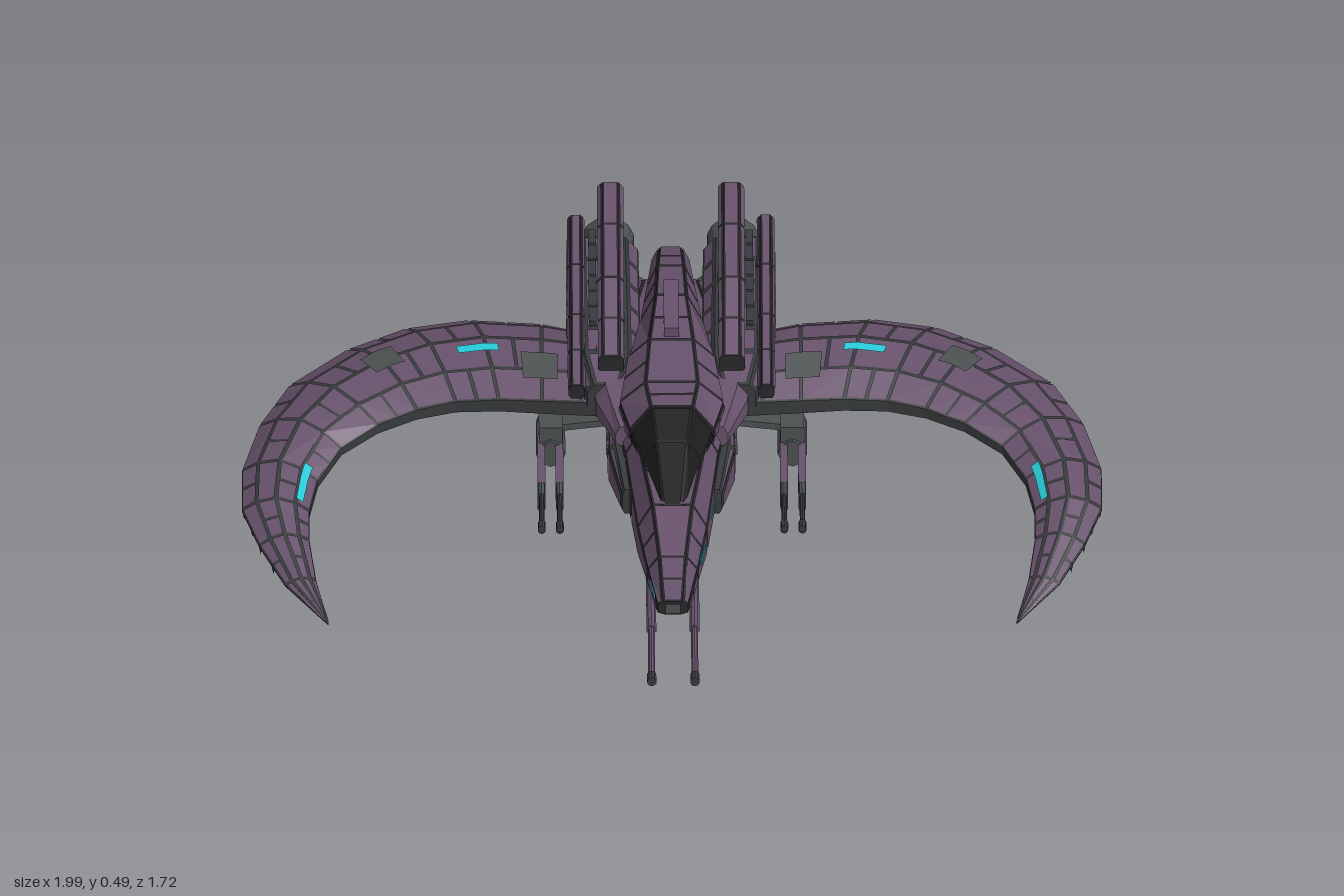
import * as THREE from 'three';

const mat = (name, color) => Object.assign(new THREE.MeshStandardMaterial({ color }), { name });
const V = (x, y, z) => new THREE.Vector3(x, y, z);
const lerp = THREE.MathUtils.lerp;

// flat-faced geometry from a list of corner points, three per triangle
function fromPoints(pts) {
  const g = new THREE.BufferGeometry().setFromPoints(pts);
  g.computeVertexNormals();
  return g;
}
const quad = (out, a, b, c, d) => out.push(a, b, c, a, c, d);

// closed body through matching rings, with end caps
function loft(rings) {
  const out = [], n = rings[0].length;
  for (let i = 0; i < rings.length - 1; i++) for (let j = 0; j < n; j++) {
    const k = (j + 1) % n;
    quad(out, rings[i][j], rings[i + 1][j], rings[i + 1][k], rings[i][k]);
  }
  const f = rings[0], b = rings[rings.length - 1];
  for (let j = 1; j < n - 1; j++) out.push(f[0], f[j], f[j + 1], b[0], b[j + 1], b[j]);
  return fromPoints(out);
}

// raised plates over a loft, separated by narrow seams
function plates(rings, sides, div, gap = 0.004, lift = 0.003) {
  const out = [], n = rings[0].length;
  for (let i = 0; i < rings.length - 1; i++) for (const j of sides) {
    const k = (j + 1) % n, m = div(i, j);
    for (let q = 0; q < m; q++) {
      const at = (jj, t) => rings[i][jj].clone().lerp(rings[i + 1][jj], t);
      const c = [at(j, q / m), at(j, (q + 1) / m), at(k, (q + 1) / m), at(k, q / m)];
      const nor = c[2].clone().sub(c[0]).cross(c[3].clone().sub(c[1])).normalize();
      const inset = c.map((p, e) => {
        const r = p.clone();
        for (const o of [c[(e + 1) % 4], c[(e + 3) % 4]]) {
          const d = o.clone().sub(p), len = d.length();
          if (len > 1e-6) r.addScaledVector(d, Math.min(gap / 2, len * 0.25) / len);
        }
        return r.addScaledVector(nor, lift);
      });
      quad(out, ...inset);
    }
  }
  return fromPoints(out);
}

// eight-sided section: bottom, waist and top half-widths with their heights
const ring = (z, wb, yb, wm, y1, y2, wt, yt, cx = 0) =>
  [[wb, yb], [wm, y1], [wm, y2], [wt, yt], [-wt, yt], [-wm, y2], [-wm, y1], [-wb, yb]]
    .map(([x, y]) => V(cx + x, y, z));

const box = (w, h, d, x, y, z, rx = 0, rz = 0) =>
  new THREE.BoxGeometry(w, h, d).rotateX(rx).rotateZ(rz).translate(x, y, z);
// cylinder along z, centred at x, y between z0 (rear) and z1 (front)
const rod = (r, x, y, z0, z1, n = 10) =>
  new THREE.CylinderGeometry(r, r, z1 - z0, n).rotateX(Math.PI / 2).translate(x, y, (z0 + z1) / 2);
// square bar between two points
function beam(a, b, w, h) {
  const o = new THREE.Object3D();
  o.position.copy(a).lerp(b, 0.5);
  o.lookAt(b);
  o.updateMatrix();
  return new THREE.BoxGeometry(w, h, a.distanceTo(b)).applyMatrix4(o.matrix);
}

function mirrored(g) {
  const m = g.index ? g.toNonIndexed() : g.clone();
  m.scale(-1, 1, 1);
  const p = m.attributes.position, a = V(0, 0, 0), b = V(0, 0, 0);
  for (let i = 0; i < p.count; i += 3) {
    a.fromBufferAttribute(p, i); b.fromBufferAttribute(p, i + 2);
    p.setXYZ(i, b.x, b.y, b.z); p.setXYZ(i + 2, a.x, a.y, a.z);
  }
  m.computeVertexNormals();
  return m;
}

// wing stations: inner edge xyz, outer edge xyz, crown height
const WING = [
  [0.12, 0.235, -0.17, 0.12, 0.208, -0.5, 0.06], [0.3, 0.225, -0.2, 0.3, 0.21, -0.57, 0.062],
  [0.4, 0.22, -0.215, 0.47, 0.208, -0.592, 0.062], [0.5, 0.212, -0.22, 0.615, 0.196, -0.575, 0.057],
  [0.59, 0.202, -0.2, 0.75, 0.18, -0.507, 0.055], [0.68, 0.186, -0.16, 0.885, 0.162, -0.375, 0.05],
  [0.765, 0.16, -0.1, 0.955, 0.146, -0.22, 0.047], [0.82, 0.13, 0, 0.996, 0.132, -0.04, 0.042],
  [0.84, 0.11, 0.107, 0.996, 0.11, 0.1, 0.036], [0.84, 0.086, 0.2, 0.957, 0.08, 0.21, 0.026],
  [0.825, 0.05, 0.32, 0.897, 0.045, 0.33, 0.014], [0.797, 0.012, 0.445, 0.801, 0.012, 0.447, 0],
];
function wingPoint(s, t, under = false) {
  const i = Math.min(Math.floor(s), WING.length - 2), f = s - i;
  const w = WING[i].map((v, k) => lerp(v, WING[i + 1][k], f));
  const crown = w[6] * Math.sin(Math.PI * t) * (under ? 0.6 : 1);
  const thick = under ? lerp(0.036, 0.012, t) * (1 - 0.8 * s / 11) : 0;
  return V(lerp(w[0], w[3], t), lerp(w[1], w[4], t) + crown - thick, lerp(w[2], w[5], t));
}
// thin marking laid on the wing's upper face
function wingMark(s0, s1, t0, t1, steps) {
  const out = [], p = (s, t) => wingPoint(s, t).add(V(0, 0.011, 0));
  for (let i = 0; i < steps; i++) {
    const a = lerp(s0, s1, i / steps), b = lerp(s0, s1, (i + 1) / steps);
    quad(out, p(a, t0), p(b, t0), p(b, t1), p(a, t1));
  }
  return fromPoints(out);
}

export function createModel() {
  const purple = mat('purple plating', 0x67516b), dark = mat('dark seams', 0x29282b);
  const charcoal = mat('charcoal underside', 0x373a3c), grey = mat('grey machinery', 0x4b5051);
  const glass = mat('canopy glass', 0x1c1b1d), cyan = mat('cyan marking', 0x25cad6);
  const root = new THREE.Group();
  const add = (name, m, g) => {
    const flat = g.index ? g.toNonIndexed() : g;
    flat.computeVertexNormals();
    const mesh = new THREE.Mesh(flat, m);
    mesh.name = name;
    root.add(mesh);
  };
  const pair = (name, m, g) => { add(name + 'Left', m, g); add(name + 'Right', m, mirrored(g)); };
  const all = [0, 1, 2, 3, 4, 5, 6, 7];
  const vary = (i, j) => 1 + (i + j) % 2;

  // main hull, nose to tail
  const hull = [
    ring(0.6, 0.02, 0.125, 0.035, 0.13, 0.15, 0.022, 0.16), ring(0.45, 0.03, 0.1, 0.056, 0.12, 0.155, 0.03, 0.19),
    ring(0.28, 0.05, 0.068, 0.078, 0.1, 0.17, 0.045, 0.228), ring(0, 0.07, 0.058, 0.105, 0.1, 0.2, 0.08, 0.25),
    ring(-0.2, 0.08, 0.053, 0.14, 0.1, 0.22, 0.1, 0.29), ring(-0.45, 0.08, 0.05, 0.14, 0.1, 0.22, 0.1, 0.27),
    ring(-0.76, 0.06, 0.07, 0.1, 0.1, 0.2, 0.06, 0.22)];
  add('hullCore', dark, loft(hull));
  add('hullPlating', purple, plates(hull, all, vary, 0.006));
  add('noseTip', grey, box(0.035, 0.025, 0.03, 0, 0.142, 0.59));

  // canopy and the raised back behind it
  const canopy = [ring(0.28, 0.03, 0.2, 0.032, 0.215, 0.22, 0.02, 0.228),
    ring(0.1, 0.06, 0.2, 0.065, 0.225, 0.24, 0.035, 0.292), ring(0, 0.08, 0.2, 0.092, 0.24, 0.26, 0.045, 0.323)];
  add('canopyFrame', dark, loft(canopy));
  add('canopyGlass', glass, plates(canopy, [1, 2, 3, 4, 5], () => 1));
  const back = [ring(0, 0.08, 0.2, 0.096, 0.24, 0.265, 0.048, 0.327), ring(-0.1, 0.1, 0.2, 0.12, 0.23, 0.28, 0.06, 0.333),
    ring(-0.27, 0.08, 0.2, 0.1, 0.24, 0.3, 0.05, 0.347), ring(-0.45, 0.06, 0.15, 0.07, 0.2, 0.29, 0.035, 0.36),
    ring(-0.65, 0.045, 0.09, 0.055, 0.12, 0.26, 0.03, 0.32), ring(-0.83, 0.035, 0.08, 0.042, 0.1, 0.23, 0.025, 0.265)];
  add('spineCore', dark, loft(back));
  add('spinePlating', purple, plates(back, all, vary, 0.006));
  add('spineRidge', purple, box(0.035, 0.03, 0.2, 0, 0.366, -0.38, 0.06));

  // crescent wings: charcoal body, purple plates above, ribs below
  const ts = [0, 0.22, 0.5, 0.78, 1];
  const wing = WING.map((_, s) => [...ts.map(t => wingPoint(s, t)), ...[...ts].reverse().map(t => wingPoint(s, t, true))]);
  pair('wingBody', charcoal, loft(wing));
  pair('wingPlating', purple, plates(wing, [0, 1, 2, 3], (i, j) => 1 + (i + j + 1) % 2, 0.007));
  for (let s = 0.8; s < 10; s += 0.4) {
    const under = t => wingPoint(s, t, true);
    for (let j = 0; j < 2; j++) pair('wingRib', charcoal, beam(under([0.06, 0.5][j]), under([0.5, 0.94][j]), 0.007, 0.007));
  }
  pair('wingPatchOuter', grey, wingMark(3.7, 4.3, 0.37, 0.6, 2));
  pair('wingPatchInner', grey, wingMark(0.8, 1.4, 0.13, 0.33, 3));
  pair('wingStripeInner', cyan, wingMark(1.8, 2.6, 0.335, 0.4, 3));
  pair('wingStripeOuter', cyan, wingMark(6.9, 7.95, 0.1, 0.2, 3));
  for (let s = 1.5; s < 10; s += 0.5) {
    const p = wingPoint(s, 0.97, true);
    pair('wingSpike', charcoal, new THREE.ConeGeometry(0.005, 0.025, 4).rotateX(Math.PI).translate(p.x, p.y - 0.008, p.z));
  }

  // shoulder fairings and side intakes
  const shoulder = [ring(-0.04, 0.02, 0.2, 0.03, 0.21, 0.23, 0.02, 0.25, 0.1),
    ring(-0.16, 0.04, 0.19, 0.055, 0.21, 0.25, 0.03, 0.28, 0.12), ring(-0.3, 0.05, 0.19, 0.06, 0.21, 0.27, 0.04, 0.3, 0.13)];
  pair('shoulder', purple, loft(shoulder));
  const intake = [ring(0.1, 0.015, 0.1, 0.02, 0.11, 0.15, 0.015, 0.165, 0.095),
    ring(-0.05, 0.025, 0.075, 0.035, 0.1, 0.18, 0.02, 0.195, 0.11), ring(-0.45, 0.025, 0.07, 0.035, 0.1, 0.18, 0.02, 0.2, 0.115)];
  pair('intakeCore', charcoal, loft(intake));
  pair('intakePlating', purple, plates(intake, [0, 1, 2], (i) => 1 + i * 3, 0.012));
  pair('intakeGrille', grey, box(0.012, 0.025, 0.16, 0.146, 0.14, -0.2));

  // upper engine housings
  const housing = [ring(-0.18, 0.03, 0.21, 0.045, 0.22, 0.26, 0.03, 0.28, 0.15),
    ring(-0.28, 0.06, 0.2, 0.08, 0.22, 0.28, 0.05, 0.31, 0.15), ring(-0.76, 0.06, 0.2, 0.08, 0.23, 0.3, 0.05, 0.335, 0.155)];
  pair('housingCore', charcoal, loft(housing));
  pair('housingPlating', purple, plates(housing, all, (i) => 1 + i * 4, 0.014));
  pair('lowerHousing', purple, loft([ring(-0.3, 0.03, 0.07, 0.045, 0.09, 0.16, 0.03, 0.18, 0.09),
    ring(-0.76, 0.03, 0.08, 0.045, 0.1, 0.16, 0.03, 0.175, 0.095)]));

  // swept fins standing over the housings
  const fin = (cx, w, rows) => rows.map(([z, y0, y1]) =>
    ring(z, w * 0.7, y0, w, y0 + 0.01, y1 - 0.014, w * 0.6, y1, cx));
  const tall = fin(0.14, 0.03, [[-0.22, 0.29, 0.335], [-0.32, 0.325, 0.378], [-0.43, 0.355, 0.422],
    [-0.6, 0.392, 0.464], [-0.75, 0.42, 0.488]]);
  const small = fin(0.22, 0.019, [[-0.17, 0.25, 0.285], [-0.4, 0.275, 0.34], [-0.75, 0.335, 0.4]]);
  for (const [name, f, div] of [['tallFin', tall, 1], ['outerFin', small, 2]]) {
    pair(name + 'Core', dark, loft(f));
    pair(name + 'Plating', purple, plates(f, all, () => div, 0.005));
  }
  for (let i = 0; i < 6; i++) {
    const z = -0.4 - i * 0.062;
    pair('finStrut', charcoal, box(0.035, 0.11, 0.034, 0.14, 0.335 + i * 0.009, z, -0.3));
    pair('finPipe', charcoal, box(0.018, 0.014, 0.05, 0.182, 0.335 + i * 0.005, z, 0.15));
    pair('sideBlock', purple, box(0.016, 0.045, 0.054, 0.235, 0.25 + i * 0.01, z + 0.03, 0.12));
  }

  // flared engine nozzles
  const nozzle = (r, len, x, y, z) => new THREE.LatheGeometry(
    [[0, 0], [0.75, 0], [0.82, 0.4], [0.88, 0.42], [0.94, 0.7], [1, 1], [0.88, 1], [0.68, 0.5], [0, 0.5]]
      .map(([a, b]) => new THREE.Vector2(a * r, b * len)), 14).rotateX(-Math.PI / 2).translate(x, y, z);
  pair('upperNozzle', grey, nozzle(0.062, 0.125, 0.145, 0.28, -0.715));
  pair('lowerNozzle', grey, nozzle(0.048, 0.125, 0.097, 0.13, -0.735));
  pair('upperBurner', dark, rod(0.03, 0.145, 0.28, -0.8, -0.76));
  pair('lowerBurner', dark, rod(0.022, 0.097, 0.13, -0.82, -0.78));

  // nose guns
  pair('noseGunBarrel', purple, rod(0.0085, 0.05, 0.095, 0.36, 0.84));
  pair('noseGunSleeve', purple, rod(0.012, 0.05, 0.095, 0.3, 0.62));
  pair('noseGunMuzzle', charcoal, rod(0.011, 0.05, 0.095, 0.825, 0.857));

  // gun pods hung on struts below the wing roots
  pair('podStrut', grey, box(0.16, 0.016, 0.05, 0.2, 0.145, -0.25, 0, -0.12));
  pair('podMount', grey, box(0.055, 0.045, 0.1, 0.28, 0.13, -0.25));
  pair('podBody', grey, rod(0.034, 0.28, 0.088, -0.34, -0.19, 8));
  for (const x of [0.26, 0.302]) {
    pair('podCasing', purple, box(0.018, 0.048, 0.28, x, 0.089, -0.16));
    for (const y of [0.072, 0.105]) {
      const end = y > 0.1 ? 0.18 : 0.13;
      pair('podBarrel', charcoal, rod(0.006, x, y, -0.04, end, 8));
      pair('podSleeve', grey, rod(0.009, x, y, -0.02, 0.03, 8));
      pair('podMuzzle', charcoal, rod(0.009, x, y, end - 0.03, end, 8));
    }
  }

  // hull side markings, set to the slope of the flank: two on the left, one on the right
  for (const [z, x, turn] of [[0.36, 0.068, -0.129], [0.15, 0.0905, -0.096], [0.52, -0.0445, 0.139]]) {
    add('hullStripe', cyan, new THREE.BoxGeometry(0.009, 0.012, 0.075).rotateY(turn).translate(x, 0.142, z));
  }
  return root;
}
